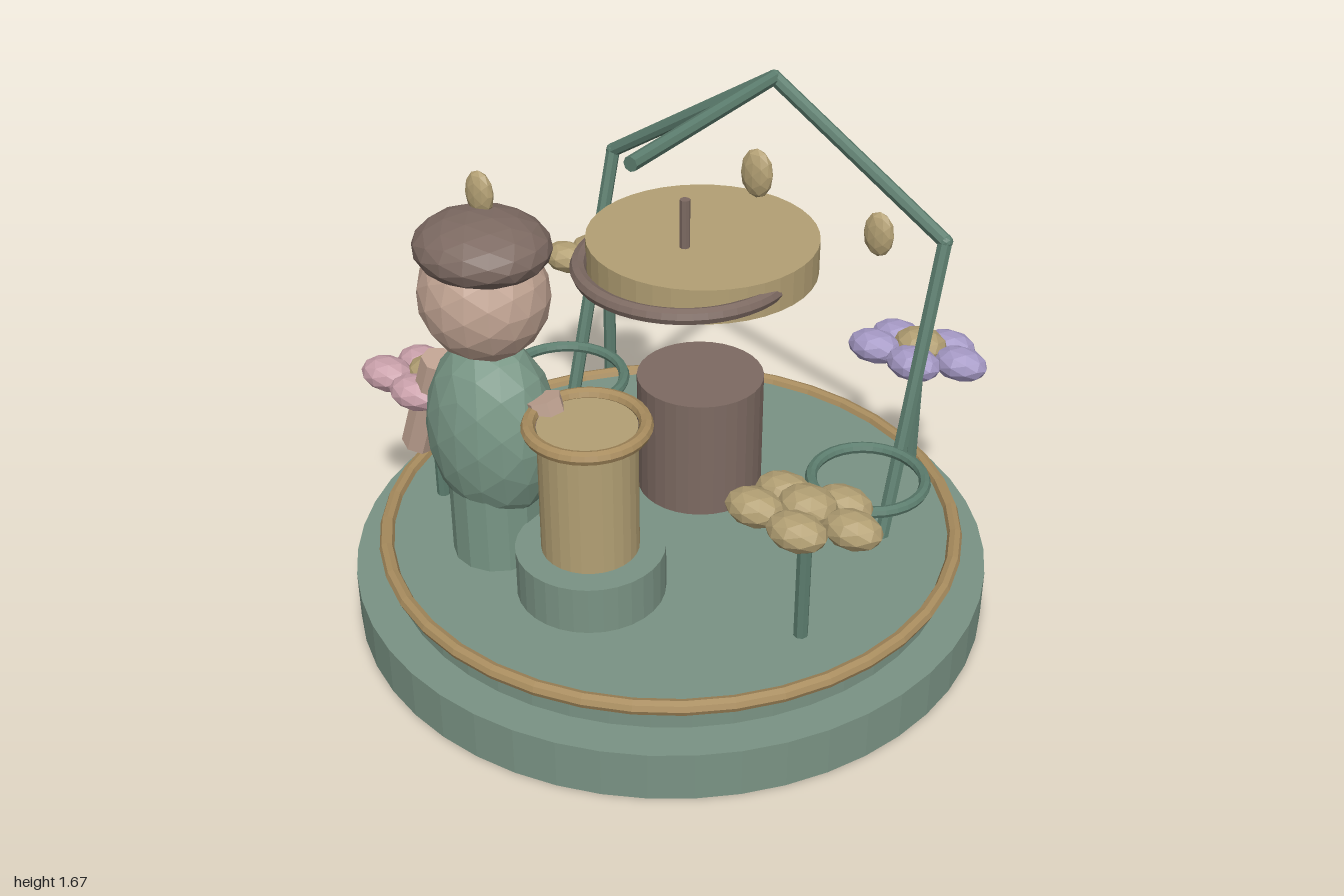
import * as THREE from 'three';

const mat = (name, color, extra = {}) => {
  const m = new THREE.MeshStandardMaterial({ color, flatShading: true, ...extra });
  m.name = name;
  return m;
};

export function createModel() {
  const root = new THREE.Group();
  root.name = 'gardenPavilion';
  const sage = mat('sage green', 0x7a9384);
  const leaf = mat('leaf green', 0x5c7d6e);
  const coat = mat('coat green', 0x789685);
  const tan = mat('tan', 0xb3a074);
  const gold = mat('gold trim', 0xa88c5e);
  const brown = mat('brown', 0x7d6a62);
  const skin = mat('skin', 0xc0a392);
  const pink = mat('pink', 0xc9a0aa);
  const lilac = mat('lilac', 0xa69ac6);

  const add = (name, geo, material, x = 0, y = 0, z = 0, parent = root) => {
    const m = new THREE.Mesh(geo, material);
    m.name = name;
    m.position.set(x, y, z);
    parent.add(m);
    return m;
  };
  // Upright cylinder standing between two heights
  const drum = (name, r, y0, y1, material, x = 0, z = 0, sides = 32) =>
    add(name, new THREE.CylinderGeometry(r, r, y1 - y0, sides), material, x, (y0 + y1) / 2, z);
  // Faceted ellipsoid
  const blob = (name, rx, ry, rz, material, x, y, z, detail = 1, parent = root) => {
    const m = add(name, new THREE.IcosahedronGeometry(1, detail), material, x, y, z, parent);
    m.scale.set(rx, ry, rz);
    return m;
  };
  // Ring lying flat
  const ring = (name, r, tube, material, x, y, z, sides = 32, arc = Math.PI * 2) => {
    const geo = new THREE.TorusGeometry(r, tube, 8, sides, arc).rotateX(Math.PI / 2);
    return add(name, geo, material, x, y, z);
  };
  // Round bar between two points
  const bar = (name, a, b, r, material, sides = 8) => {
    const p = new THREE.Vector3(...a), q = new THREE.Vector3(...b);
    const d = q.clone().sub(p);
    const m = add(name, new THREE.CylinderGeometry(r, r, d.length(), sides), material);
    m.position.copy(p).add(q).multiplyScalar(0.5);
    m.quaternion.setFromUnitVectors(new THREE.Vector3(0, 1, 0), d.normalize());
    return m;
  };

  // Stepped base with trim ring
  drum('base', 1, 0, 0.16, sage, 0, 0, 48);
  drum('floor', 0.888, 0.16, 0.245, sage, 0, 0, 48);
  ring('floorTrim', 0.9, 0.023, gold, 0, 0.245, 0, 40);

  // Frame of leaning legs, posts, rafters and a ridge beam
  const apex = [0, 1.545, -0.57];
  for (const s of [-1, 1]) {
    const shoulder = [0.61 * s, 1.155, -0.57];
    bar('frameLeg', [0.61 * s, 0.24, -0.28], shoulder, 0.023, leaf);
    bar('rafter', shoulder, apex, 0.023, leaf);
    blob('frameJoint', 0.024, 0.024, 0.024, leaf, ...shoulder);
  }
  blob('frameJoint', 0.024, 0.024, 0.024, leaf, ...apex);
  bar('ridgeBeam', apex, [0, 1.545, 0.2], 0.023, leaf);

  // Hoops beside the legs
  ring('leftHoop', 0.172, 0.018, leaf, 0.6, 0.515, -0.175);
  ring('rightHoop', 0.197, 0.018, leaf, -0.52, 0.515, -0.147);

  // Hanging disc, spindle, guard and crank
  drum('disc', 0.353, 1.065, 1.175, tan, 0, -0.173, 40);
  drum('spindle', 0.016, 1.08, 1.33, brown, 0, -0.075, 8);
  ring('discGuard', 0.315, 0.025, brown, 0, 1.118, -0.07, 24, Math.PI);
  bar('crank', [0, 1.115, -0.07], [0.17, 1.032, -0.07], 0.022, brown);
  drum('stool', 0.2, 0.29, 0.69, brown, 0, -0.168, 32);

  // Pot on its pedestal
  drum('pedestal', 0.225, 0.24, 0.4, sage, 0, 0.43, 32);
  drum('pot', 0.147, 0.4, 0.82, tan, 0, 0.43, 28);
  ring('potRim', 0.17, 0.021, gold, 0, 0.82, 0.43);

  // Figure, facing the back
  const fx = -0.36, fz = 0.42;
  drum('legs', 0.144, 0.24, 0.55, coat, fx, fz, 14);
  blob('body', 0.215, 0.31, 0.178, coat, fx, 0.68, fz, 2);
  blob('head', 0.198, 0.198, 0.188, skin, fx, 1.135, 0.425, 2);
  blob('cap', 0.207, 0.1, 0.19, brown, fx, 1.287, fz, 2);
  for (const s of [-1, 1]) {
    bar('arm', [fx + 0.305 * s, 0.515, fz], [fx + 0.195 * s, 0.85, fz], 0.055, skin, 7);
    blob('eye', 0.025, 0.025, 0.02, brown, fx + 0.07 * s, 1.118, 0.247);
  }

  // Flowers: stem, domed centre and five petals on a tilted head
  const flower = (name, x, z, petalMat) => {
    drum(name + 'Stem', 0.022, 0.24, 0.68, leaf, x, z, 8);
    const head = new THREE.Group();
    head.name = name;
    head.position.set(x, 0.68, z);
    head.rotation.x = -0.25;
    root.add(head);
    blob('flowerCentre', 0.088, 0.06, 0.088, tan, 0, 0.02, 0, 1, head);
    for (let i = 0; i < 5; i++) {
      const a = (i * Math.PI * 2) / 5;
      blob('petal', 0.09, 0.055, 0.075, petalMat, 0.145 * Math.cos(a), 0, 0.145 * Math.sin(a), 1, head);
    }
  };
  flower('pinkFlower', -0.685, 0.305, pink);
  flower('frontTanFlower', 0.64, 0.28, tan);
  flower('lilacFlower', 0.5, -0.69, lilac);
  flower('backTanFlower', -0.69, -0.64, tan);

  // Drifting petals
  for (const [x, y, z] of [[0.385, 1.605, 0.17], [0.54, 1.29, -0.26], [-0.4, 1.42, 0.37]])
    blob('driftingPetal', 0.048, 0.07, 0.026, tan, x, y, z);

  return root;
}
